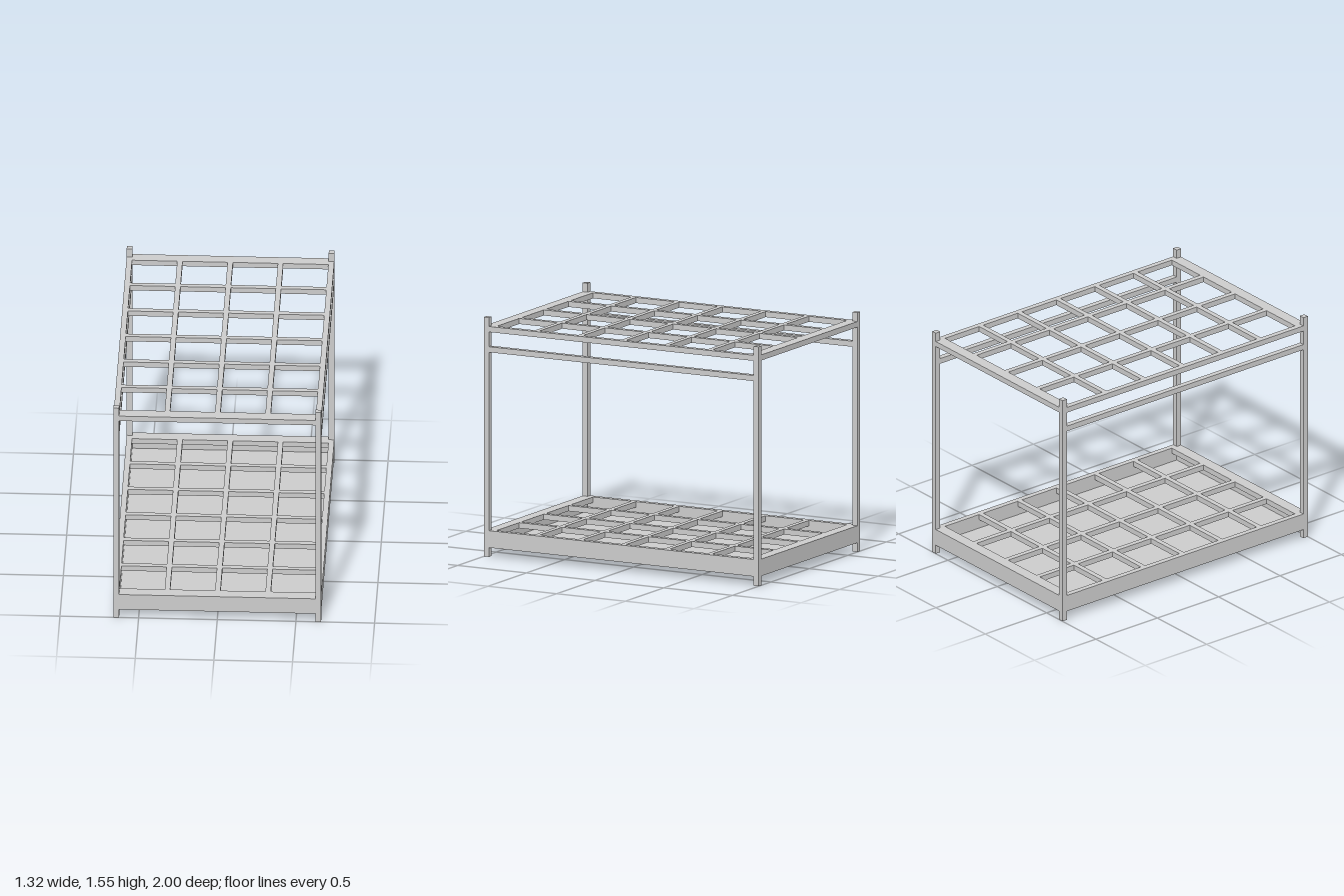
import * as THREE from 'three';

const HX = 0.66, HZ = 1, T = 0.036;   // half width, half length, bar thickness
const IX = HX - T, IZ = HZ - T;       // inner faces of the corner posts

export function createModel() {
  const group = new THREE.Group();
  const material = new THREE.MeshStandardMaterial({ color: 0xcccccc, flatShading: true });

  // Box given by its lower and upper limits on each axis
  function bar(parent, name, [x0, x1], [y0, y1], [z0, z1]) {
    const mesh = new THREE.Mesh(new THREE.BoxGeometry(x1 - x0, y1 - y0, z1 - z0), material);
    mesh.position.set((x0 + x1) / 2, (y0 + y1) / 2, (z0 + z1) / 2);
    mesh.name = name;
    parent.add(mesh);
  }
  const span = (s, a, b) => (s > 0 ? [a, b] : [-b, -a]);

  // Rails between the posts: along both sides, and optionally across both ends
  function rails(parent, name, y, ends) {
    for (const s of [-1, 1]) {
      bar(parent, name + 'SideRail', span(s, IX, HX), y, [-IZ, IZ]);
      if (ends) bar(parent, name + 'EndRail', [-IX, IX], y, span(s, IZ, HZ));
    }
  }

  // Lattice of 4 x 6 openings inside the rails
  function lattice(name, y0) {
    const grid = new THREE.Group();
    grid.name = name;
    const y = [y0, y0 + T], zEnd = 0.924, h = T / 2 - 0.001;
    for (const s of [-1, 1]) bar(grid, 'endSlat', [-IX, IX], y, span(s, zEnd, IZ));
    const rows = [-2, -1, 0, 1, 2].map((i) => i * 0.3145);
    for (const z of rows) bar(grid, 'crossSlat', [-IX, IX], y, [z - h, z + h]);
    // Long slats are cut into pieces between the cross slats
    const stops = [-zEnd - h, ...rows, zEnd + h];
    for (const x of [-0.32, 0, 0.32])
      for (let i = 0; i < stops.length - 1; i++)
        bar(grid, 'longSlat', [x - h, x + h], y, [stops[i] + h, stops[i + 1] - h]);
    group.add(grid);
    return grid;
  }

  // Corner posts
  for (const sx of [-1, 1])
    for (const sz of [-1, 1])
      bar(group, 'cornerPost', span(sx, IX, HX), [0, 1.55], span(sz, IZ, HZ));

  // Roof frame with its lattice, and the lower side rails
  rails(lattice('roof', 1.456), 'roof', [1.456, 1.492], true);
  rails(group, 'lower', [1.325, 1.361], false);

  // Base tray: deep rails, closed floor and lattice on top
  const base = lattice('base', 0.134);
  rails(base, 'base', [0.06, 0.17], true);
  bar(base, 'floorPanel', [-IX, IX], [0.06, 0.075], [-IZ, IZ]);

  return group;
}
